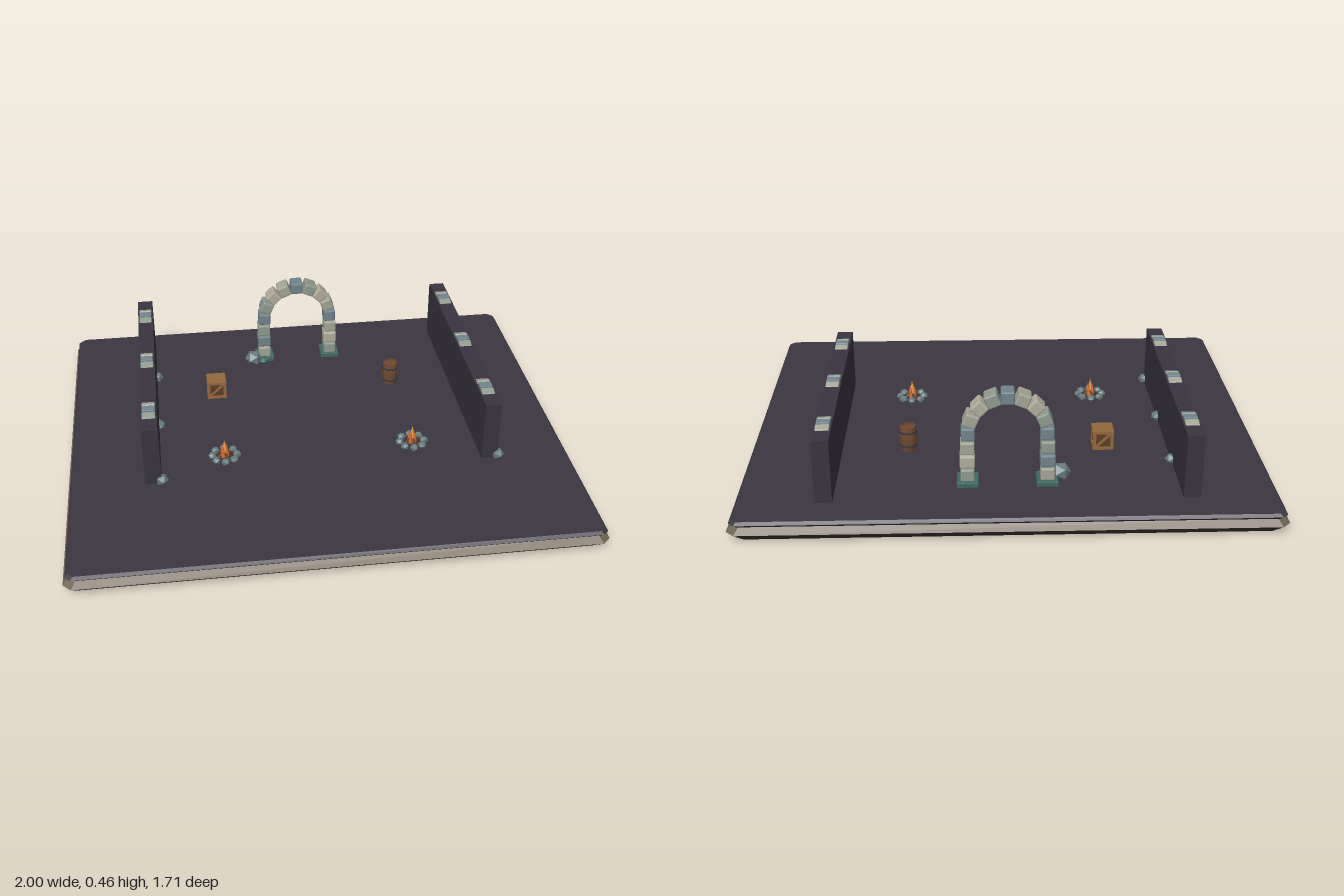
import * as THREE from 'three';
import { RoundedBoxGeometry } from 'three/addons/geometries/RoundedBoxGeometry.js';

const FLOOR = 0.083;
const mat = (color) => new THREE.MeshStandardMaterial({ color, flatShading: true });
const M = {
  earth: mat(0x3d352e), rim: mat(0x6e6151), floor: mat(0x3b3641), wall: mat(0x39343f),
  wood: mat(0x94683c), woodDark: mat(0x5c3f28), barrel: mat(0x70492f), iron: mat(0x3a3a3e),
  flame: mat(0xe0692a), flameCore: mat(0xf2a23c), rubble: mat(0x667a7c), moss: mat(0x3f6a60),
};
const stones = [mat(0xa3a596), mat(0x71848c), mat(0x8f9a8e), mat(0xb0ad9b)];

function add(parent, name, geometry, material, x = 0, y = 0, z = 0) {
  const mesh = new THREE.Mesh(geometry, material);
  mesh.name = name;
  mesh.position.set(x, y, z);
  parent.add(mesh);
  return mesh;
}

function group(parent, name, x = 0, y = 0, z = 0) {
  const g = new THREE.Group();
  g.name = name;
  g.position.set(x, y, z);
  parent.add(g);
  return g;
}

const block = (w, h, d) => new RoundedBoxGeometry(w, h, d, 1, Math.min(w, h, d) * 0.12);

// Solid through clipped-corner rectangles given as [y, halfX, halfZ, cornerCut]
function slab(sections) {
  const rings = sections.map(([y, a, b, c]) => [
    [a, b - c], [a - c, b], [c - a, b], [-a, b - c],
    [-a, c - b], [c - a, -b], [a - c, -b], [a, c - b],
  ].map(([x, z]) => [x, y, z]));
  const pos = [];
  const tri = (...p) => p.forEach((v) => pos.push(...v));
  for (let i = 0; i < 8; i++) {
    const j = (i + 1) % 8;
    for (let k = 0; k + 1 < rings.length; k++) {
      const [lo, hi] = [rings[k], rings[k + 1]];
      tri(lo[i], hi[i], lo[j]);
      tri(lo[j], hi[i], hi[j]);
    }
    const top = rings[rings.length - 1];
    tri([0, sections[0][0], 0], rings[0][i], rings[0][j]);
    tri([0, top[0][1], 0], top[j], top[i]);
  }
  const g = new THREE.BufferGeometry();
  g.setAttribute('position', new THREE.Float32BufferAttribute(pos, 3));
  g.computeVertexNormals();
  return g;
}

function rock(parent, name, x, z, r, height, turn, material = M.rubble) {
  const m = add(parent, name, new THREE.IcosahedronGeometry(r, 0), material, x, FLOOR + height * 0.4, z);
  m.scale.y = (height * 0.65) / r;
  m.rotation.y = turn;
  return m;
}

function buildWall(root, x) {
  const wall = group(root, 'sideWall');
  add(wall, 'wallPanel', new THREE.BoxGeometry(0.064, 0.249, 1.04), M.wall, x, FLOOR + 0.1245, -0.19);
  [-0.57, -0.19, 0.19].forEach((z, n) => {
    // Three arched coping stones
    for (let k = -1; k <= 1; k++) {
      const s = add(wall, 'copingStone', block(0.052, 0.03, 0.034), stones[(k + 4) % 3], x, 0.33 - Math.abs(k) * 0.005, z + k * 0.038);
      s.rotation.x = k * 0.3;
    }
    rock(wall, 'wallRock', x + 0.034, z + 0.135, 0.026, 0.036, n + 0.4);
  });
}

function buildArch(root) {
  const arch = group(root, 'stoneArch', 0, 0, -0.572);
  const R = 0.145, spring = 0.292;
  for (const side of [-1, 1]) {
    add(arch, 'archFoot', block(0.08, 0.022, 0.088), M.moss, side * 0.147, FLOOR + 0.011, -0.002);
    [0.126, 0.181, 0.236].forEach((y, i) =>
      add(arch, 'pillarStone', block(0.053 + (i % 2) * 0.004, 0.05, 0.066), stones[(i + (side > 0 ? 2 : 0)) % 4], side * 0.148, y, 0));
  }
  // Voussoirs around the half circle
  for (let i = 0; i <= 8; i++) {
    const a = (i / 8) * Math.PI;
    const s = add(arch, 'archStone', block(0.051, 0.051, 0.066 + (i % 2) * 0.004), stones[(i * 3 + 1) % 4],
      Math.cos(a) * R, spring + Math.sin(a) * R, 0);
    s.rotation.z = a;
  }
  rock(root, 'archRubble', -0.2, -0.535, 0.039, 0.054, 0.5);
  rock(root, 'archRubble', -0.155, -0.525, 0.024, 0.03, 1.2, M.moss);
}

function buildCrate(root) {
  const S = 0.078, h = S / 2, t = 0.011;
  const crate = group(root, 'crate', -0.383, FLOOR + h + 0.002, -0.288);
  add(crate, 'crateBox', new THREE.BoxGeometry(S - 0.008, S - 0.004, S - 0.008), M.woodDark);
  add(crate, 'crateLid', new THREE.BoxGeometry(S - 0.01, 0.006, S - 0.01), M.wood, 0, h - 0.002, 0);
  // Framed sides with a diagonal brace
  for (let i = 0; i < 4; i++) {
    const side = group(crate, 'crateSide');
    side.rotation.y = (i * Math.PI) / 2;
    for (const s of [-1, 1]) {
      add(side, 'crateRail', new THREE.BoxGeometry(S, t, t), M.wood, 0, s * (h - t / 2), h - t / 2 + 0.002);
      add(side, 'cratePost', new THREE.BoxGeometry(t, S, t), M.wood, s * (h - t / 2), 0, h - t / 2 + 0.001);
    }
    add(side, 'crateBrace', new THREE.BoxGeometry(S * 1.15, t * 0.9, 0.006), M.wood, 0, 0, h - 0.004).rotation.z = Math.PI / 4;
  }
}

function buildBarrel(root) {
  const barrel = group(root, 'barrel', 0.378, FLOOR, -0.29);
  const profile = [[0, 0], [0.029, 0], [0.034, 0.03], [0.035, 0.05], [0.034, 0.07], [0.03, 0.1], [0.026, 0.1], [0.026, 0.095], [0, 0.095]];
  add(barrel, 'barrelBody', new THREE.LatheGeometry(profile.map((p) => new THREE.Vector2(...p)), 12), M.barrel);
  for (const y of [0.022, 0.078]) {
    add(barrel, 'barrelHoop', new THREE.CylinderGeometry(0.0352, 0.0352, 0.008, 12), M.iron, 0, y, 0);
  }
}

function buildCampfire(root, x) {
  const fire = group(root, 'campfire', x, 0, 0.185);
  for (let i = 0; i < 8; i++) {
    const a = (i * Math.PI) / 4;
    rock(fire, 'fireStone', Math.cos(a) * 0.05, Math.sin(a) * 0.05, 0.018, 0.024, i * 1.3);
  }
  // Leaning logs
  for (let i = 0; i < 4; i++) {
    const pivot = group(fire, 'log', 0, FLOOR, 0);
    pivot.rotation.y = (i * Math.PI) / 2 + 0.4;
    add(pivot, 'logWood', new THREE.CylinderGeometry(0.006, 0.007, 0.052, 6), M.woodDark, 0.017, 0.016, 0).rotation.z = 1.0;
  }
  // Flame tongues
  add(fire, 'flameCore', new THREE.ConeGeometry(0.014, 0.075, 6), M.flameCore, 0, FLOOR + 0.045, 0);
  for (let i = 0; i < 4; i++) {
    const a = (i * Math.PI) / 2 + 0.6;
    add(fire, 'flameTongue', new THREE.ConeGeometry(0.01, 0.045 + (i % 2) * 0.013, 5), M.flame,
      Math.cos(a) * 0.011, FLOOR + 0.035, Math.sin(a) * 0.011);
  }
}

export function createModel() {
  const root = new THREE.Group();
  root.name = 'ruinedCourtyard';

  // Layered ground plate
  add(root, 'groundBase', slab([[0, 0.957, 0.815, 0.015], [0.038, 1, 0.855, 0.03]]), M.earth);
  add(root, 'groundRim', slab([[0.038, 1, 0.855, 0.03], [0.062, 0.978, 0.833, 0.025]]), M.rim);
  add(root, 'floor', slab([[0.06, 0.978, 0.833, 0.02], [0.072, 0.99, 0.845, 0.02], [FLOOR, 0.98, 0.836, 0.02]]), M.floor);

  for (const side of [-1, 1]) {
    buildWall(root, side * 0.668);
    buildCampfire(root, side * 0.381);
  }
  buildArch(root);
  buildCrate(root);
  buildBarrel(root);
  return root;
}
